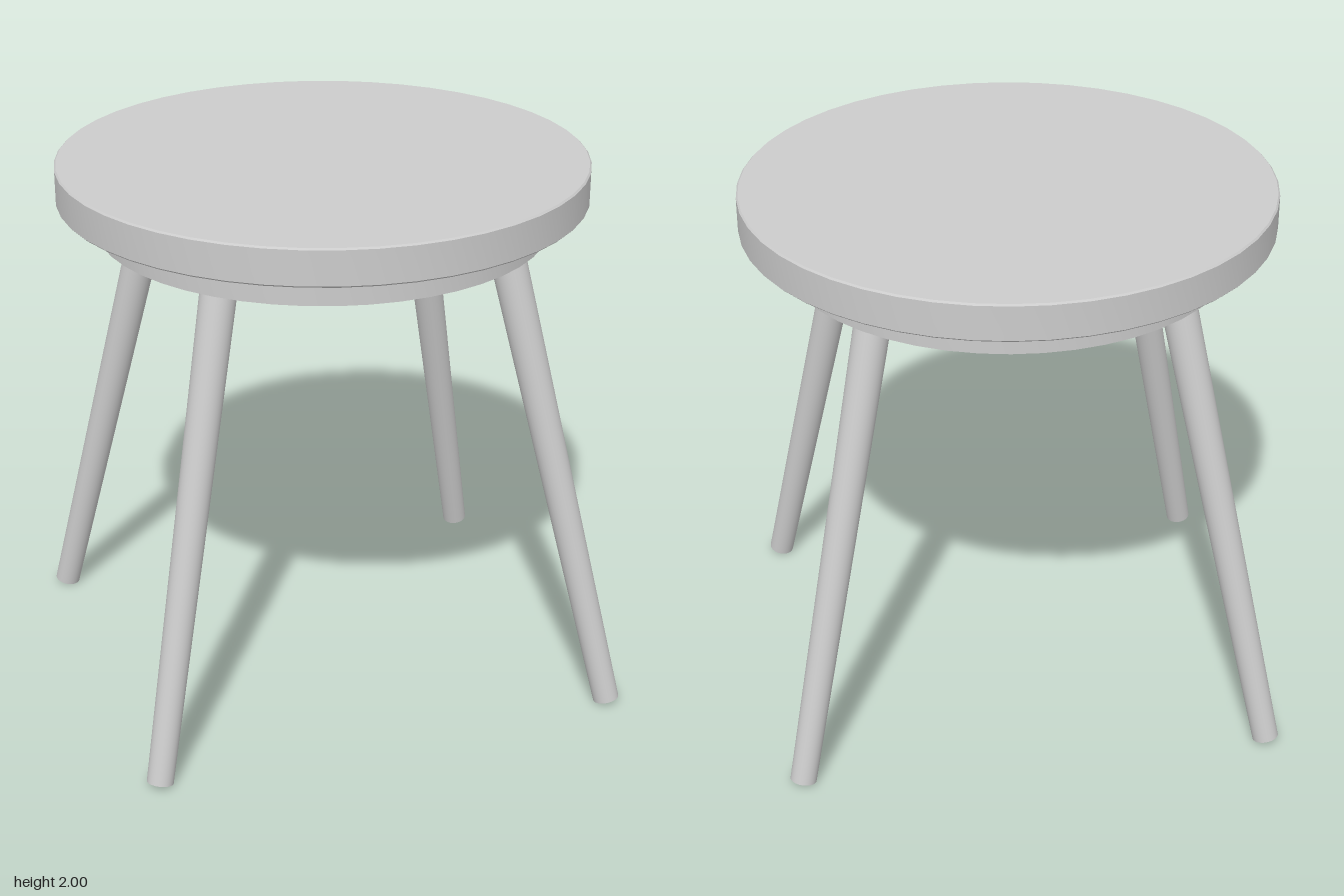
import * as THREE from 'three';
import { toCreasedNormals } from 'three/addons/utils/BufferGeometryUtils.js';

const material = new THREE.MeshStandardMaterial({ color: 0xcccccc });

// Revolved part with crisp edges; profile is [radius, y] pairs, counter-clockwise
function turned(name, profile) {
  const points = profile.map(([r, y]) => new THREE.Vector2(r, y));
  const geometry = toCreasedNormals(new THREE.LatheGeometry(points, 48), Math.PI / 6);
  const mesh = new THREE.Mesh(geometry, material);
  mesh.name = name;
  return mesh;
}

// Tapered round leg with ends cut square to its own axis
function leg(name, foot, top) {
  const axis = top.clone().sub(foot);
  const mesh = new THREE.Mesh(new THREE.CylinderGeometry(0.066, 0.048, axis.length(), 32), material);
  mesh.position.copy(foot).add(top).multiplyScalar(0.5);
  mesh.quaternion.setFromUnitVectors(new THREE.Vector3(0, 1, 0), axis.normalize());
  mesh.name = name;
  return mesh;
}

export function createModel() {
  const stool = new THREE.Group();
  stool.name = 'stool';

  // Round seat with a slightly eased rim
  stool.add(turned('seat', [
    [0, 1.865], [0.951, 1.865], [0.957, 1.871], [0.957, 1.994], [0.951, 2], [0, 2],
  ]));

  // Hollow ring just beneath the seat, leaving a narrow gap
  stool.add(turned('apronRing', [
    [0.78, 1.747], [0.816, 1.747], [0.816, 1.853], [0.78, 1.853], [0.78, 1.747],
  ]));

  // Four splayed legs, running up inside the ring to the seat
  for (const [side, sx] of [['Left', 1], ['Right', -1]]) {
    for (const [end, sz] of [['front', 1], ['back', -1]]) {
      const foot = new THREE.Vector3(sx * 0.865, 0.016, sz * 0.772 + 0.008);
      const top = new THREE.Vector3(sx * 0.495, 1.88, sz * 0.43 + 0.012);
      stool.add(leg(end + side + 'Leg', foot, top));
    }
  }
  return stool;
}
